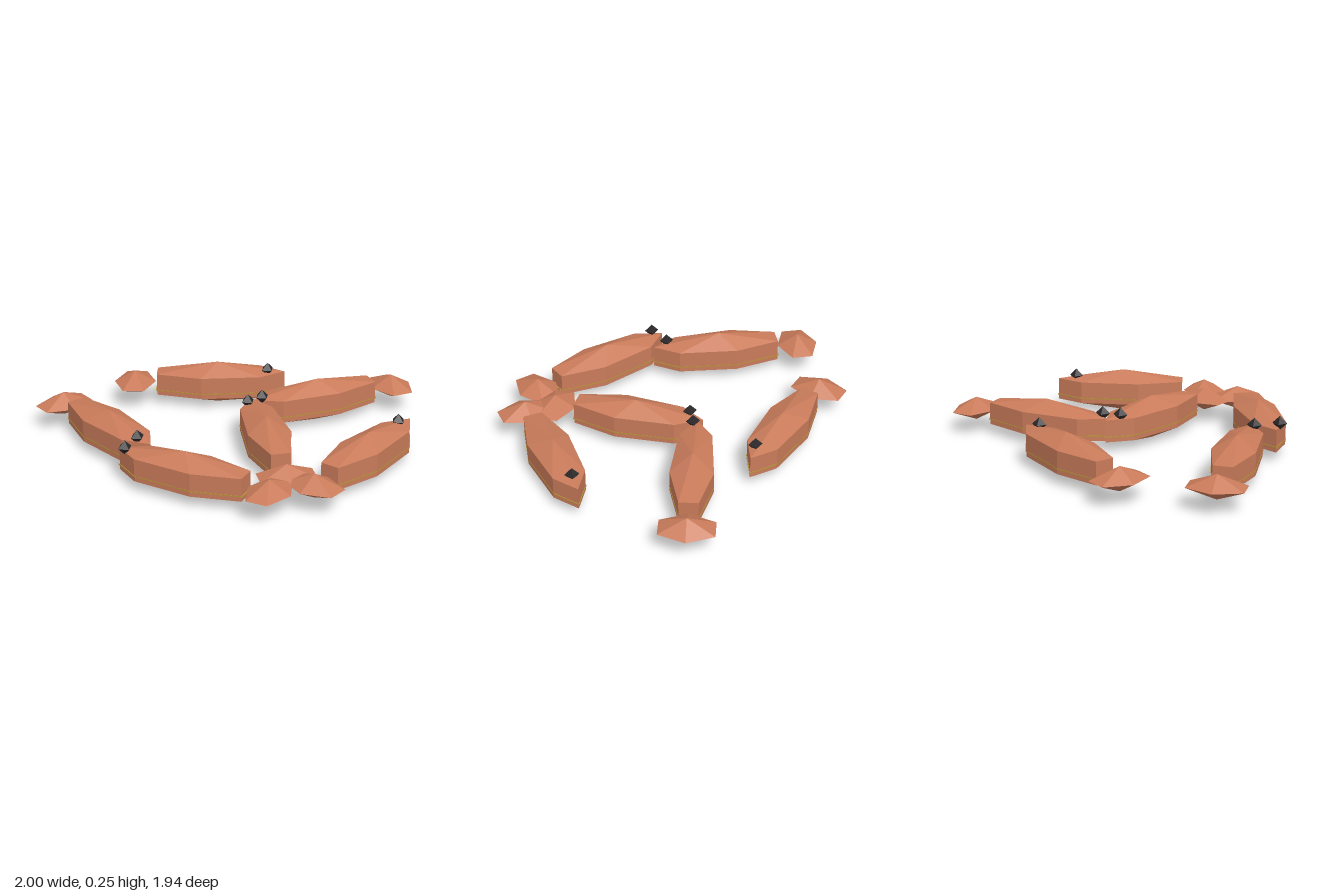
import * as THREE from 'three';

// Body outline (x along the fish, z across), from nose around to the nose again
const OUTLINE = [[0.39, 0], [0.25, 0.091], [-0.09, 0.118], [-0.35, 0.053],
  [-0.35, -0.053], [-0.09, -0.118], [0.25, -0.091]];

// Vertical prism over the outline, closed by a fan to an apex above and below
function prism(yLow, yHigh, apexLow, apexHigh, sx = 1, sz = 1) {
  const pos = [];
  const tri = (...pts) => pts.forEach((p) => pos.push(...p));
  const at = (i, y) => {
    const [x, z] = OUTLINE[i % OUTLINE.length];
    return [x * sx, y, z * sz];
  };
  for (let i = 0; i < OUTLINE.length; i++) {
    const a = at(i, yHigh), b = at(i + 1, yHigh), c = at(i, yLow), d = at(i + 1, yLow);
    tri([0, apexHigh, 0], b, a);
    tri(a, b, c);
    tri(b, d, c);
    tri([0, apexLow, 0], c, d);
  }
  const g = new THREE.BufferGeometry();
  g.setAttribute('position', new THREE.Float32BufferAttribute(pos, 3));
  g.computeVertexNormals();
  return g;
}

export function createModel() {
  const material = (name, color) => {
    const m = new THREE.MeshStandardMaterial({ color, flatShading: true });
    m.name = name;
    return m;
  };
  const copper = material('copper', 0xc97b5a);
  const gold = material('gold', 0xb8903a);
  const black = material('black', 0x2b2728);

  const bodyGeo = prism(0.06, 0.187, 0, 0.247);
  const bandGeo = prism(0.086, 0.092, 0.086, 0.092, 1.02, 1.015);
  const tailGeo = new THREE.SphereGeometry(1, 6, 2).scale(0.12, 0.067, 0.173);
  const eyeGeo = new THREE.OctahedronGeometry(0.04);

  const model = new THREE.Group();
  model.name = 'fishSchool';
  const add = (parent, name, geo, mat, x = 0, y = 0, z = 0) => {
    const mesh = new THREE.Mesh(geo, mat);
    mesh.name = name;
    mesh.position.set(x, y, z);
    parent.add(mesh);
  };

  // Each fish: centre x, z; heading x, z; eye x, z
  const school = [
    [-0.35, 0.77, 1, 0, -0.04, 0.80],
    [0.32, 0.75, -0.9, 0.436, 0.03, 0.925],
    [0.235, 0.155, -0.903, -0.43, -0.055, 0.055],
    [0.005, -0.39, -0.23, 0.97, -0.055, -0.045],
    [-0.548, -0.10, 0.622, -0.783, -0.35, -0.315],
    [0.727, -0.146, -0.236, -0.972, 0.655, -0.42],
  ];
  school.forEach(([x, z, dx, dz, ex, ez], i) => {
    const fish = new THREE.Group();
    fish.name = `fish${i + 1}`;
    fish.position.set(x, 0, z);
    fish.rotation.y = Math.atan2(-dz, dx);
    add(fish, 'body', bodyGeo, copper);
    add(fish, 'sideBand', bandGeo, gold);
    add(fish, 'tail', tailGeo, copper, -0.48, 0.123, 0);
    model.add(fish);
    add(model, `eye${i + 1}`, eyeGeo, black, ex, 0.21, ez);
  });
  return model;
}
